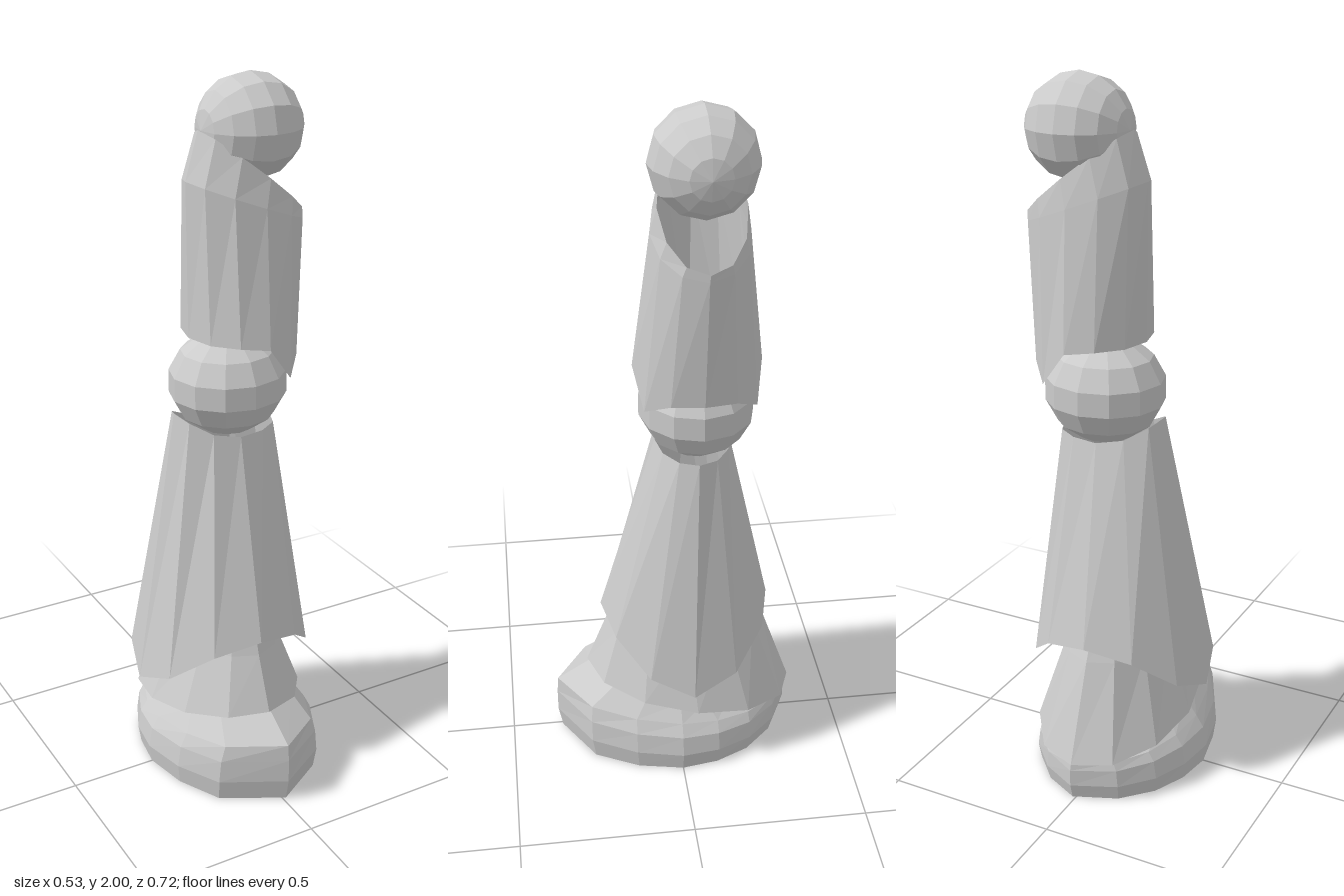
import * as THREE from 'three';

const SIDES = 12;
const material = new THREE.MeshStandardMaterial({
  color: 0xcccccc, flatShading: true, side: THREE.DoubleSide,
});

// Elliptical cross-section, starting at the front (+z) and turning towards +x.
// height(s, z, i) gives y, where s is the sine of the angle.
function ring(cx, cz, rx, rz, height) {
  return Array.from({ length: SIDES }, (_, i) => {
    const a = (i / SIDES) * Math.PI * 2;
    const s = Math.sin(a);
    const z = cz + rz * Math.cos(a);
    return [cx + rx * s, height(s, z, i), z];
  });
}

// Open shell through a stack of cross-sections, bottom to top.
function loft(name, rings) {
  const n = rings[0].length;
  const index = [];
  for (let r = 0; r < rings.length - 1; r++) {
    for (let i = 0; i < n; i++) {
      const a = r * n + i;
      const b = r * n + ((i + 1) % n);
      index.push(a, b, b + n, a, b + n, a + n);
    }
  }
  const geometry = new THREE.BufferGeometry();
  geometry.setAttribute('position', new THREE.Float32BufferAttribute(rings.flat(2), 3));
  geometry.setIndex(index);
  geometry.computeVertexNormals();
  const mesh = new THREE.Mesh(geometry, material);
  mesh.name = name;
  return mesh;
}

function ball(name, widthSegments, heightSegments, radii, position, tilt = 0) {
  const geometry = new THREE.SphereGeometry(1, widthSegments, heightSegments);
  geometry.rotateZ(tilt).scale(...radii).translate(...position);
  const mesh = new THREE.Mesh(geometry, material);
  mesh.name = name;
  return mesh;
}

export function createModel() {
  const leg = new THREE.Group();
  leg.name = 'leg';

  // Hip joint, with its poles pointing sideways
  leg.add(ball('hipJoint', 12, 8, [0.147, 0.143, 0.143], [0.11, 1.857, -0.062], Math.PI / 2));

  // Thigh shell: top slopes down to the outside, lower rim dips at two corners
  const lowerRim = [1.29, 1.19, 1.23, 1.235, 1.23, 1.19, 1.29, 1.3, 1.3, 1.3, 1.3, 1.3];
  leg.add(loft('thigh', [
    ring(0.075, -0.055, 0.157, 0.175, (s, z, i) => lowerRim[i]),
    ring(0.088, -0.058, 0.173, 0.13, (s) => 1.665 - 0.065 * s),
    ring(0.108, -0.06, 0.154, 0.115, (s) => 1.74 - 0.12 * s),
  ]));

  // Knee joint
  leg.add(ball('kneeJoint', 12, 7, [0.172, 0.15, 0.163], [0.042, 1.153, -0.058]));

  // Flared shin with a point on each side of the hem
  leg.add(loft('shin', [
    ring(-0.002, -0.032, 0.266, 0.25, (s) => 0.455 - 0.17 * Math.abs(s) ** 2.5),
    ring(0.022, -0.05, 0.155, 0.105, (s) => 1.025 + 0.065 * Math.max(0, -s) ** 2),
  ]));

  // Ankle cuff, its lower rim sloping down to the heel
  leg.add(loft('ankle', [
    ring(0, -0.048, 0.222, 0.312, (s, z) => 0.19 + 0.2 * (z + 0.03)),
    ring(0, -0.03, 0.145, 0.232, () => 0.405),
    ring(0, -0.025, 0.12, 0.2, () => 0.49),
  ]));

  // Foot: outline with a pointed toe and heel, open above and below
  const half = [[0.165, 0.265], [0.23, 0.135], [0.257, 0], [0.24, -0.11],
    [0.195, -0.21], [0.115, -0.295]];
  const outline = [[0.01, 0.36], ...half, [0.01, -0.347],
    ...half.map(([x, z]) => [-x, z]).reverse()];
  const footRing = (scaleX, scaleZ, height) =>
    outline.map(([x, z]) => [x * scaleX, height(z), z * scaleZ]);
  leg.add(loft('foot', [
    footRing(0.97, 0.965, () => 0),
    footRing(1, 1, (z) => 0.055 + 0.03 * z),
    footRing(0.96, 1, (z) => 0.115 + 0.06 * z),
    footRing(0.87, 0.99, (z) => 0.15 + 0.1 * z),
    footRing(0.72, 0.72, (z) => 0.2 + 0.13 * z),
  ]));

  return leg;
}
